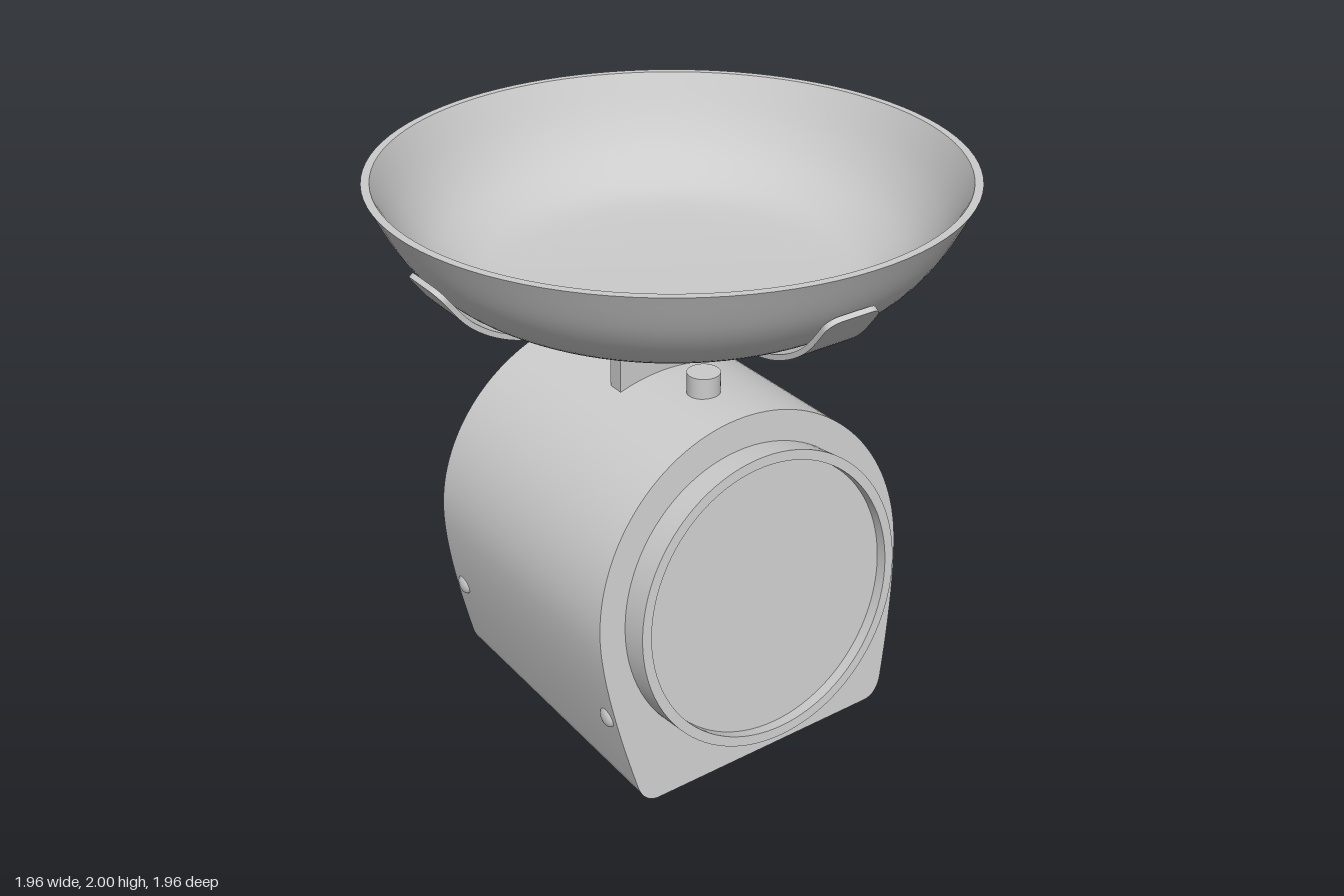
import * as THREE from 'three';
import { toCreasedNormals } from 'three/addons/utils/BufferGeometryUtils.js';

const V2 = (x, y) => new THREE.Vector2(x, y);

export function createModel() {
  const model = new THREE.Group();
  const grey = new THREE.MeshStandardMaterial({ color: 0xcccccc });

  const add = (name, geometry, x = 0, y = 0, z = 0, parent = model) => {
    const mesh = new THREE.Mesh(geometry, grey);
    mesh.name = name;
    mesh.position.set(x, y, z);
    parent.add(mesh);
    return mesh;
  };
  const lathe = (points) => toCreasedNormals(new THREE.LatheGeometry(points, 96), 0.5);

  // Housing: rounded arch, extruded backwards, with a sloping front
  const arch = new THREE.Shape();
  arch.moveTo(-0.45, 0.025);
  arch.lineTo(0.45, 0.025);
  arch.quadraticCurveTo(0.515, 0.025, 0.533, 0.1);
  arch.quadraticCurveTo(0.62, 0.46, 0.62, 0.65);
  arch.absarc(0, 0.65, 0.62, 0, Math.PI, false);
  arch.quadraticCurveTo(-0.62, 0.46, -0.533, 0.1);
  arch.quadraticCurveTo(-0.515, 0.025, -0.45, 0.025);
  const slope = 0.1325;
  const frontZ = (y) => 0.565 - slope * (y - 0.025);
  const body = new THREE.ExtrudeGeometry(arch, { depth: 1, bevelEnabled: false, curveSegments: 32 });
  const pos = body.attributes.position;
  for (let i = 0; i < pos.count; i++) {
    pos.setZ(i, pos.getZ(i) > 0.5 ? frontZ(pos.getY(i)) : -0.545);
  }
  add('housing', toCreasedNormals(body, 0.6));

  // Dial: raised ring with a recessed face, tilted with the front
  const dial = add('dial', lathe([
    V2(0.525, -0.01), V2(0.525, 0.1), V2(0.49, 0.1), V2(0.49, 0.06), V2(0, 0.06),
  ]), 0, 0.643, frontZ(0.643));
  dial.rotation.x = Math.PI / 2 - Math.atan(slope);

  // Adjusting knob on top
  add('knob', new THREE.CylinderGeometry(0.057, 0.057, 0.11, 32), 0, 1.287, 0.18);

  // Feet and side studs
  const foot = new THREE.CylinderGeometry(0.048, 0.048, 0.035, 32);
  const stud = new THREE.SphereGeometry(0.037, 24, 16).scale(0.5, 1, 1);
  for (const side of [-1, 1]) {
    for (const z of [0.395, -0.375]) add('foot', foot, side * 0.38, 0.0175, z);
    for (const z of [0.46, -0.485]) add('sideStud', stud, side * 0.585, 0.36, z);
  }

  // Post: channel open to the back
  const post = new THREE.Group();
  post.name = 'post';
  model.add(post);
  add('postWeb', new THREE.BoxGeometry(0.39, 0.365, 0.015), 0, 1.4125, -0.0275, post);
  for (const side of [-1, 1]) {
    add('postFlange', new THREE.BoxGeometry(0.018, 0.365, 0.06), side * 0.187, 1.4125, -0.05, post);
  }

  // Bowl support: chamfered centre plate with four curved arms
  const support = new THREE.Group();
  support.name = 'bowlSupport';
  model.add(support);
  const a = 0.1, b = 0.27, thick = 0.018;
  const plate = new THREE.Shape([
    V2(b, -a), V2(b, a), V2(a, b), V2(-a, b), V2(-b, a), V2(-b, -a), V2(-a, -b), V2(a, -b),
  ]);
  add('supportPlate', new THREE.ExtrudeGeometry(plate, { depth: thick, bevelEnabled: false })
    .rotateX(-Math.PI / 2), 0, 1.589, 0, support);

  const path = new THREE.CatmullRomCurve3([
    [0.27, 1.598], [0.4, 1.598], [0.52, 1.6], [0.67, 1.628], [0.8, 1.703], [0.91, 1.838],
  ].map(([x, y]) => new THREE.Vector3(x, y, 0)));
  const length = path.getLength(), corner = 0.045;
  const arm = new THREE.BoxGeometry(1, thick, 2, 40, 1, 1).translate(0.5, 0, 0);
  const ap = arm.attributes.position;
  for (let i = 0; i < ap.count; i++) {
    // Rows crowd towards the tip, where the width follows a rounded corner
    const s = 1 - Math.pow(1 - Math.min(1, Math.max(0, ap.getX(i))), 1.7);
    const p = path.getPointAt(s), t = path.getTangentAt(s), h = ap.getY(i);
    const over = Math.max(0, s * length - (length - corner));
    const half = a - corner + Math.sqrt(Math.max(0, corner * corner - over * over));
    ap.setXYZ(i, p.x - t.y * h, p.y + t.x * h, ap.getZ(i) * half);
  }
  arm.computeVertexNormals();
  for (let i = 0; i < 4; i++) {
    add('supportArm', arm, 0, 0, 0, support).rotation.y = i * Math.PI / 2;
  }

  // Bowl: outer wall up to the rim, then the inner wall back down
  const outer = new THREE.SplineCurve([
    V2(0.46, 1.61), V2(0.6, 1.623), V2(0.7, 1.657), V2(0.81, 1.733), V2(0.9, 1.845), V2(0.98, 2),
  ]).getPoints(30);
  const inner = new THREE.SplineCurve([
    V2(0.953, 2), V2(0.875, 1.855), V2(0.79, 1.75), V2(0.685, 1.678), V2(0.59, 1.646), V2(0.45, 1.633),
  ]).getPoints(30);
  add('bowl', lathe([V2(0, 1.61), ...outer, ...inner, V2(0, 1.63)]));

  return model;
}
